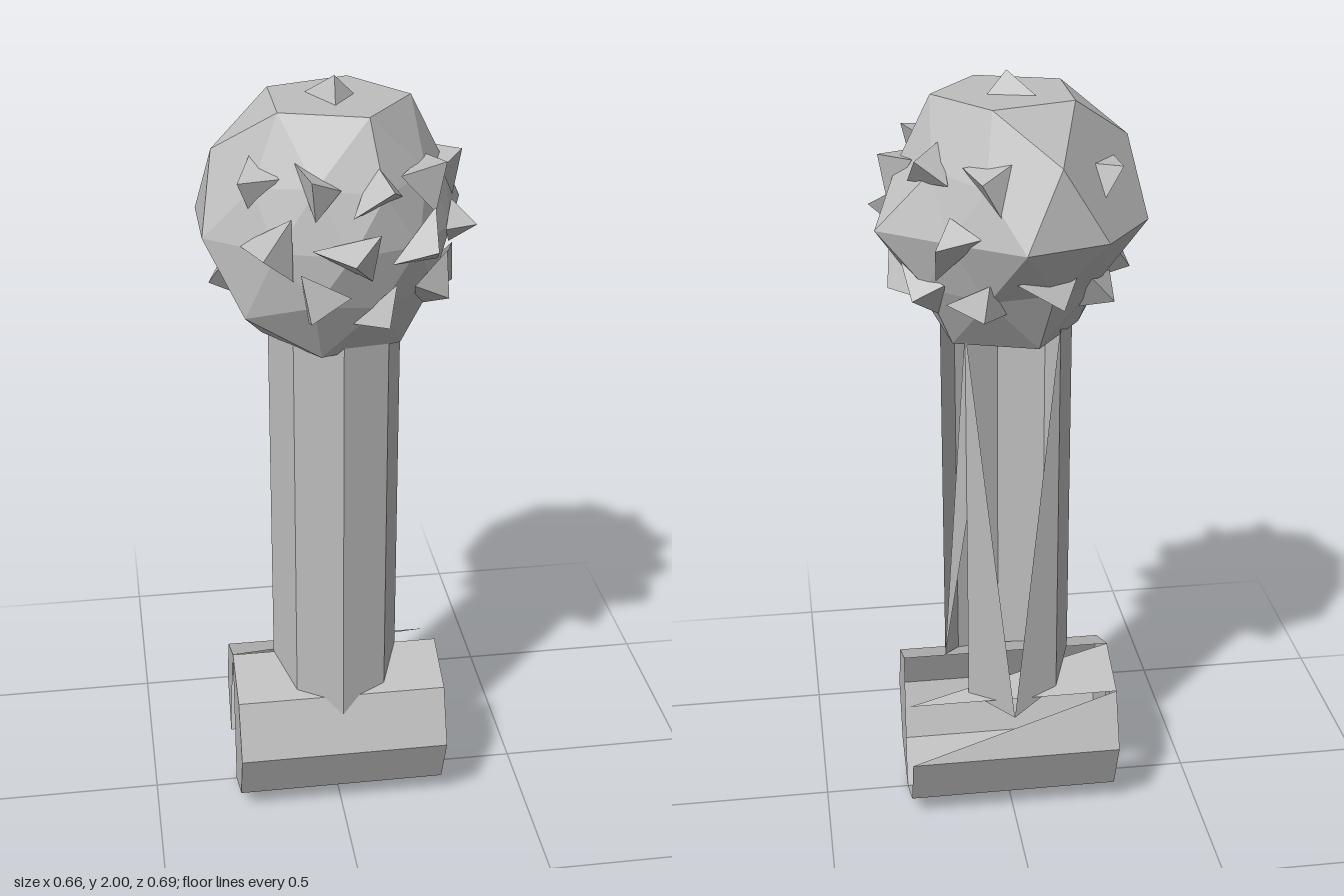
import * as THREE from 'three';

const V = (x, y, z) => new THREE.Vector3(x, y, z);
const grey = new THREE.MeshStandardMaterial({ color: 0xbebebe, flatShading: true, side: THREE.DoubleSide });

// Flat triangles from a flat list of corners
function triMesh(name, points) {
  const geometry = new THREE.BufferGeometry().setFromPoints(points);
  geometry.computeVertexNormals();
  const mesh = new THREE.Mesh(geometry, grey);
  mesh.name = name;
  return mesh;
}

// Add a triangle so that it faces away from a centre
function addTri(list, a, b, c, centre) {
  const n = b.clone().sub(a).cross(c.clone().sub(a));
  const out = a.clone().add(b).add(c).divideScalar(3).sub(centre);
  if (n.dot(out) >= 0) list.push(a, b, c);
  else list.push(a, c, b);
}

function seeded(seed) {
  return () => (seed = (seed * 16807) % 2147483647) / 2147483647;
}

// Lying octagonal foot, with a broken back and a half-open left end
function foot() {
  const r = 0.207, half = 0.277, centre = V(0, 0.21, 0), list = [];
  const p = (i, x) => {
    const a = i * Math.PI / 4; // 0 top, 2 front, 4 bottom, 6 back
    return V(x, 0.21 + r * Math.cos(a), r * Math.sin(a));
  };
  for (let i = 0; i < 8; i++) {
    const a = p(i, half), b = p(i + 1, half), c = p(i + 1, -half), d = p(i, -half);
    if (i === 4) addTri(list, a, b, d, centre);
    else if (i === 6) addTri(list, a, c, d, centre);
    else if (i === 7) addTri(list, a, c, d, centre);
    else {
      addTri(list, a, b, c, centre);
      addTri(list, a, c, d, centre);
    }
  }
  for (let i = 1; i < 7; i++) {
    if (i < 4) addTri(list, p(0, half), p(i, half), p(i + 1, half), centre);
    if (i !== 4) addTri(list, p(0, -half), p(i, -half), p(i + 1, -half), centre);
  }
  return triMesh('foot', list);
}

// Octagonal shaft, with split panels at the back
function shaft() {
  const r = 0.166, list = [];
  const baseY = [0.42, 0.369, 0.31, 0.369, 0.42, 0.369, 0.31, 0.369];
  const p = (i, t) => {
    const k = i % 8, a = k * Math.PI / 4; // 0 left, 2 front, 4 right, 6 back
    return V(r * Math.cos(a), THREE.MathUtils.lerp(baseY[k], 1.4, t), r * Math.sin(a));
  };
  const centre = V(0, 0.9, 0);
  for (let i = 0; i < 8; i++) {
    const a = p(i, 0), b = p(i + 1, 0), c = p(i + 1, 1), d = p(i, 1);
    if (i === 5) addTri(list, a, b, d, centre);
    else if (i === 6) addTri(list, b, c, a, centre);
    else if (i === 7) addTri(list, d, p(i, 0.5), b, centre);
    else {
      addTri(list, a, b, c, centre);
      addTri(list, a, c, d, centre);
    }
  }
  return triMesh('shaft', list);
}

// Faceted ball with uneven dents and spikes on a twenty-sided frame
function spikyHead() {
  const R = 0.345, origin = V(0, 0, 0), rand = seeded(77);
  const corners = [V(0, 1, 0)];
  for (const s of [1, -1]) {
    for (let k = 0; k < 5; k++) {
      const a = (k * 72 + (s < 0 ? 36 : 0)) * Math.PI / 180;
      corners.push(V(0.8944 * Math.cos(a), 0.4472 * s, 0.8944 * Math.sin(a)));
    }
  }
  corners.push(V(0, -1, 0));

  const faces = [];
  for (let k = 0; k < 5; k++) {
    const n = (k + 1) % 5;
    faces.push([0, 1 + k, 1 + n], [1 + k, 1 + n, 6 + k], [6 + k, 6 + n, 1 + n], [11, 6 + k, 6 + n]);
  }

  const tips = corners.slice(0, 11), middles = new Map();
  const middle = (i, j) => {
    const key = Math.min(i, j) + '-' + Math.max(i, j);
    if (!middles.has(key)) {
      const dir = corners[i].clone().add(corners[j]).normalize();
      const topRing = i === 0 || j === 0;
      const dented = !topRing && rand() < 0.5;
      if (dented) tips.push(dir);
      middles.set(key, dir.clone().multiplyScalar(R * (dented ? 0.82 : 1)));
    }
    return middles.get(key);
  };

  const core = [];
  for (const f of faces) {
    const m = [0, 1, 2].map((e) => middle(f[e], f[(e + 1) % 3]));
    addTri(core, m[0], m[1], m[2], origin);
    for (let e = 0; e < 3; e++) {
      const sunk = corners[f[e]].clone().multiplyScalar(R * 0.85);
      addTri(core, sunk, m[e], m[(e + 2) % 3], origin);
    }
  }

  // Three-sided spikes, turned and stretched unevenly
  const spikes = [];
  for (const dir of tips) {
    const side = V(0.31, 0.2, 0.93).cross(dir).normalize();
    const up = dir.clone().cross(side);
    const turn = rand() * Math.PI * 2;
    const foot = [0, 1, 2].map((k) => {
      const a = turn + k * Math.PI * 2 / 3 + (rand() - 0.5) * 0.9;
      const w = 0.05 + rand() * 0.06;
      return dir.clone().multiplyScalar(R * 0.8)
        .addScaledVector(side, w * Math.cos(a)).addScaledVector(up, w * Math.sin(a));
    });
    const tip = dir.clone().multiplyScalar(R);
    const mid = dir.clone().multiplyScalar(R * 0.8);
    for (let k = 0; k < 3; k++) addTri(spikes, tip, foot[k], foot[(k + 1) % 3], mid);
  }

  const group = new THREE.Group();
  group.name = 'head';
  group.add(triMesh('headCore', core), triMesh('headSpikes', spikes));
  group.position.y = 1.655;
  return group;
}

export function createModel() {
  grey.name = 'grey';
  const model = new THREE.Group();
  model.name = 'spikyHeadedPost';
  model.add(foot(), shaft(), spikyHead());
  return model;
}
